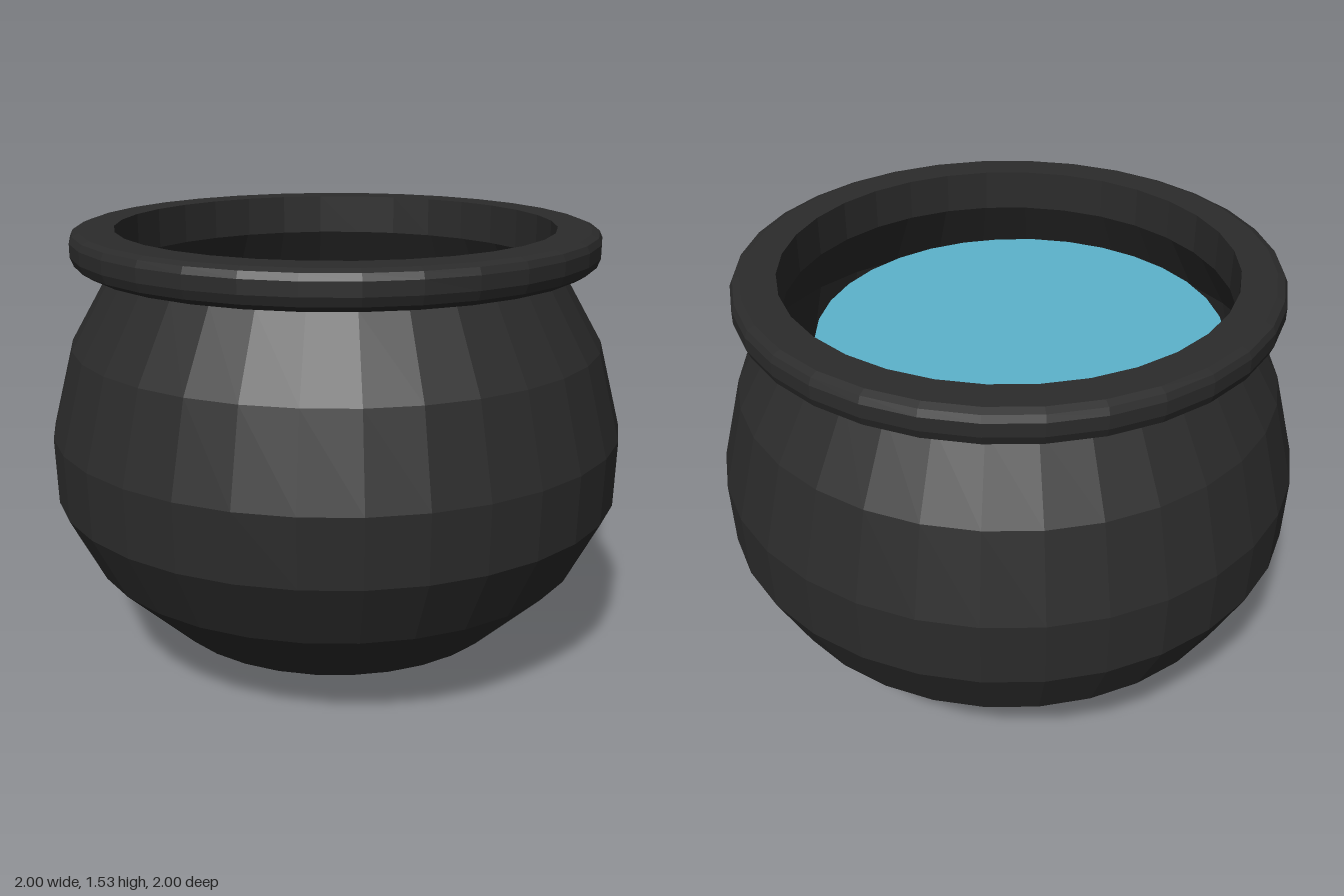
import * as THREE from 'three';

const SIDES = 32;

// Turned part from [radius, height] pairs
function turned(name, profile, material) {
  const points = profile.map(([r, y]) => new THREE.Vector2(r, y));
  const mesh = new THREE.Mesh(new THREE.LatheGeometry(points, SIDES), material);
  mesh.name = name;
  return mesh;
}

export function createModel() {
  const iron = new THREE.MeshStandardMaterial({ color: 0x2b2b2b, flatShading: true, side: THREE.DoubleSide });
  const blue = new THREE.MeshStandardMaterial({ color: 0x5cb3cc, side: THREE.DoubleSide });
  const group = new THREE.Group();
  group.name = 'cauldron';

  // Thin-walled round belly with a flat base
  group.add(turned('pot', [
    [0, 0], [0.355, 0], [0.63, 0.135], [0.88, 0.38],
    [0.995, 0.61], [1, 0.84], [0.92, 1.14], [0.775, 1.39],
  ], iron));

  // Heavy lip with rounded outer edges and an upright inner wall
  const rim = turned('rim', [
    [0.755, 1.39], [0.78, 1.388], [0.86, 1.405], [0.893, 1.425], [0.905, 1.455],
    [0.905, 1.5], [0.895, 1.522], [0.87, 1.532], [0.755, 1.532], [0.755, 1.39],
  ], iron);
  rim.position.x = -0.003;
  group.add(rim);

  // Liquid surface, set slightly toward the front
  const liquid = new THREE.Mesh(new THREE.CircleGeometry(0.697, SIDES), blue);
  liquid.name = 'liquid';
  liquid.rotation.x = -Math.PI / 2;
  liquid.position.set(-0.003, 1.27, 0.05);
  group.add(liquid);

  return group;
}
